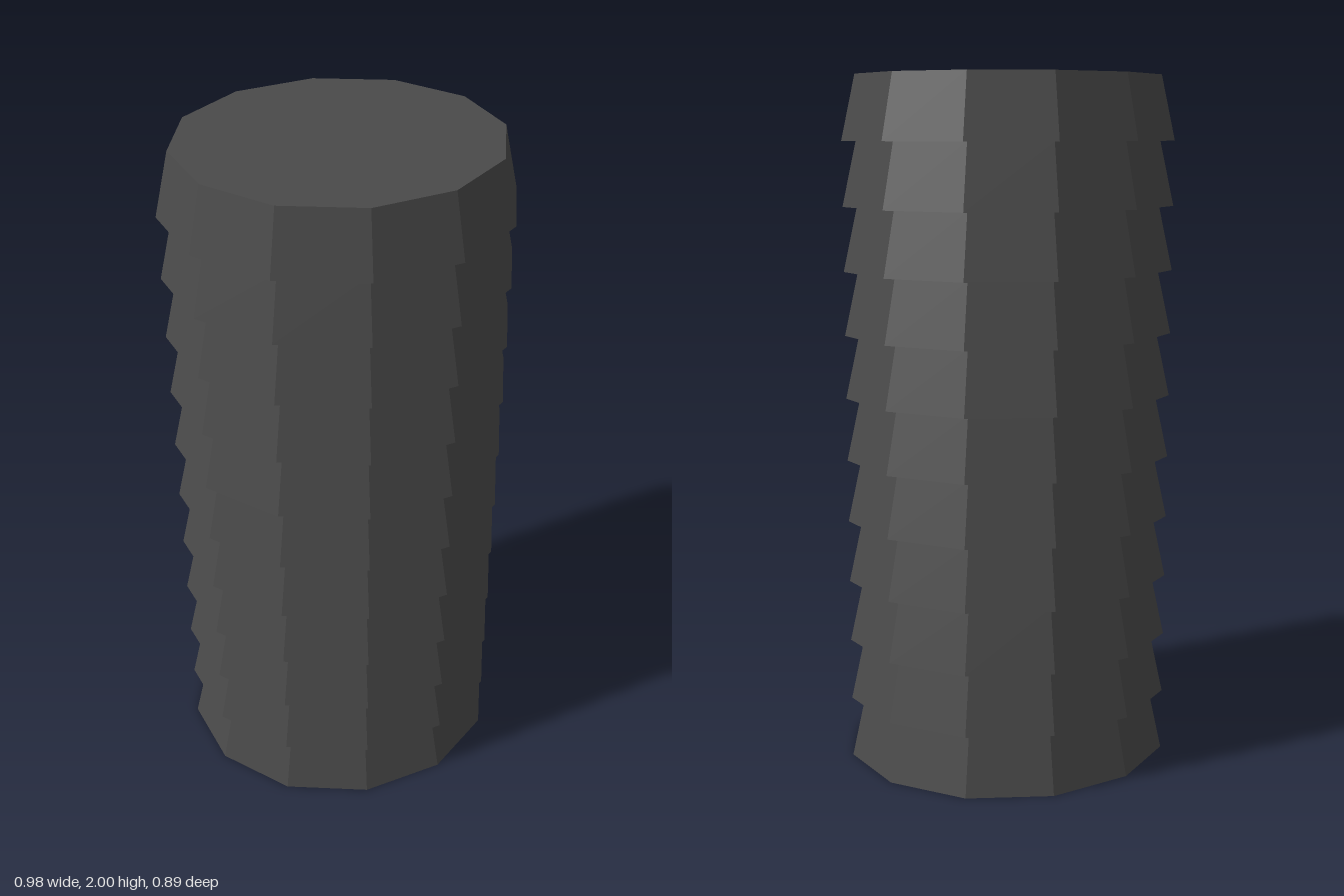
import * as THREE from 'three';

export function createModel() {
  const group = new THREE.Group();
  group.name = 'ribbedColumn';

  const rubber = new THREE.MeshStandardMaterial({ color: 0x4a4a4a, flatShading: true });
  rubber.name = 'dark grey';

  // Stack of tapered twelve-sided rings, slightly oval and leaning a touch to -x
  const count = 11;
  const height = 2 / count;
  const ring = new THREE.CylinderGeometry(0.445, 0.486, height, 12);
  ring.scale(1, 1, 0.915);

  for (let i = 0; i < count; i++) {
    const mesh = new THREE.Mesh(ring, rubber);
    mesh.name = `ring${i + 1}`;
    mesh.position.set(0.002 - 0.004 * (i / (count - 1)), (i + 0.5) * height, 0);
    group.add(mesh);
  }
  return group;
}
